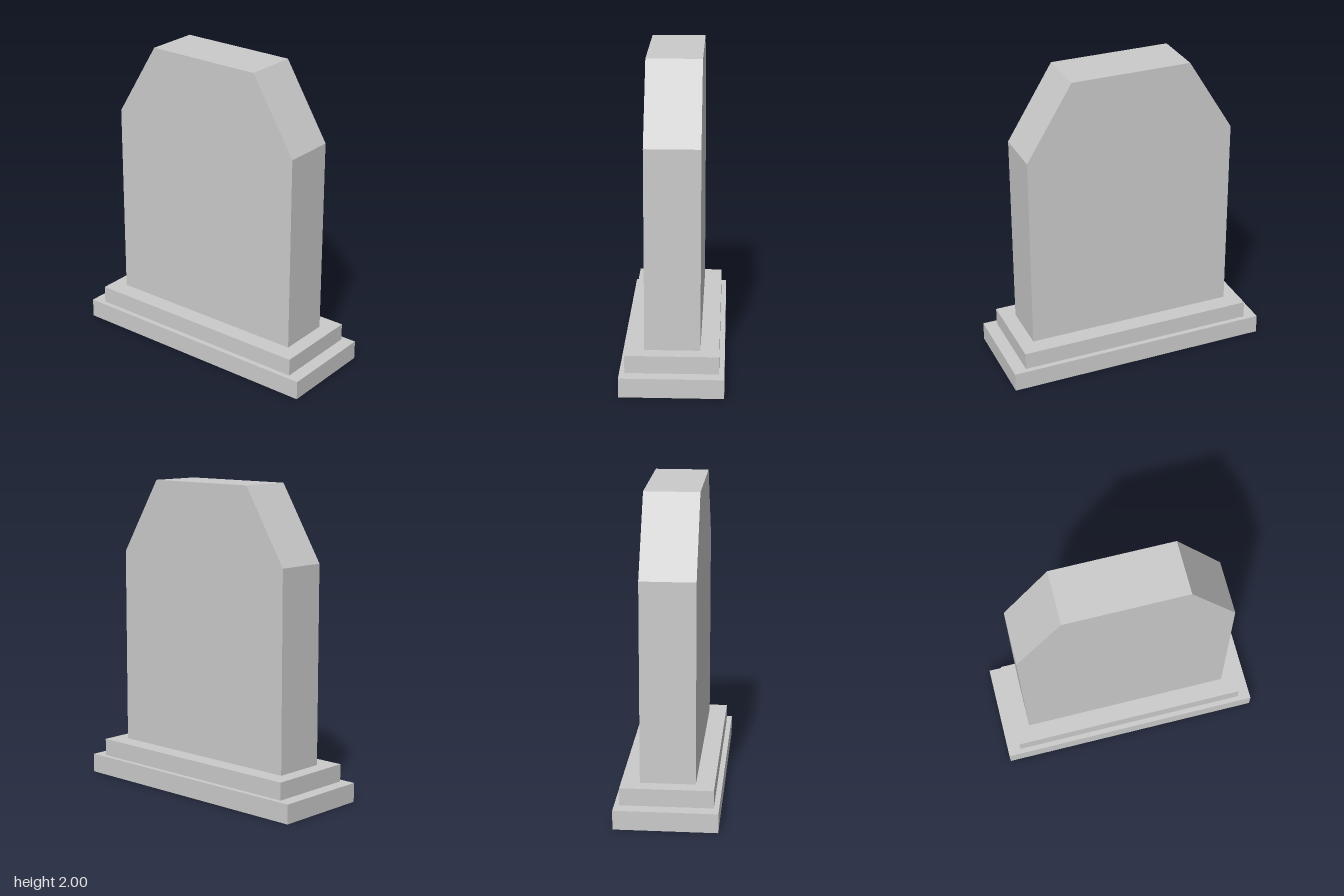
import * as THREE from 'three';

const material = new THREE.MeshStandardMaterial({
  color: 0xcccccc, flatShading: true, side: THREE.DoubleSide,
});

// Extrudes a front outline along z, centred, and leaves the underside open.
function openBlock(name, outline, depth) {
  const shape = new THREE.Shape(outline.map(([x, y]) => new THREE.Vector2(x, y)));
  const solid = new THREE.ExtrudeGeometry(shape, { depth, bevelEnabled: false });
  solid.translate(0, 0, -depth / 2);
  const p = solid.getAttribute('position');
  const bottom = Math.min(...outline.map(([, y]) => y));
  const kept = [];
  for (let i = 0; i < p.count; i += 3) {
    const corners = [i, i + 1, i + 2];
    if (corners.every((c) => Math.abs(p.getY(c) - bottom) < 1e-5)) continue;
    for (const c of corners) kept.push(p.getX(c), p.getY(c), p.getZ(c));
  }
  const geometry = new THREE.BufferGeometry();
  geometry.setAttribute('position', new THREE.Float32BufferAttribute(kept, 3));
  geometry.computeVertexNormals();
  const mesh = new THREE.Mesh(geometry, material);
  mesh.name = name;
  return mesh;
}

// Mirrors the right half of an outline, listed from bottom to top.
const mirrored = (half) => [...half, ...half.map(([x, y]) => [-x, y]).reverse()];

export function createModel() {
  const group = new THREE.Group();
  group.name = 'gravestone';

  // Two stepped plinths
  group.add(openBlock('lowerPlinth', mirrored([[0.868, 0], [0.868, 0.124]]), 0.646));
  group.add(openBlock('upperPlinth', mirrored([[0.783, 0.124], [0.783, 0.237]]), 0.58));

  // Upright slab with cut shoulders, running down through the plinths
  group.add(openBlock('slab', mirrored([[0.687, 0], [0.687, 1.517], [0.39, 2]]), 0.346));

  return group;
}
